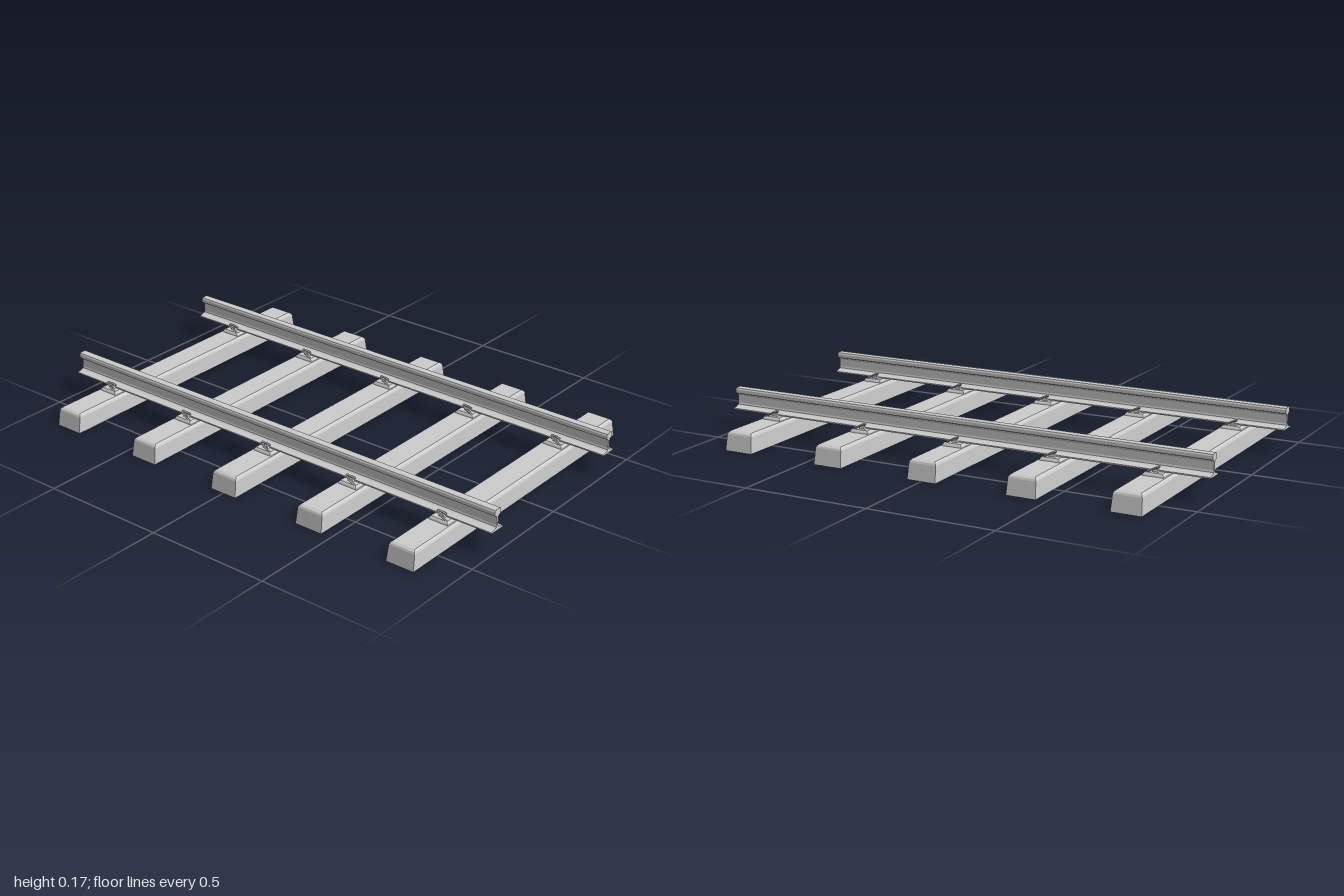
import * as THREE from 'three';

const grey = new THREE.MeshStandardMaterial({ color: 0xcccccc, flatShading: true });
grey.name = 'plain grey';

// Solid made of stacked rectangles: [halfX, y, halfZ], bottom to top
function stackedBlock(levels) {
  const pos = [], index = [];
  for (const [x, y, z] of levels) pos.push(-x, y, z, x, y, z, x, y, -z, -x, y, -z);
  for (let l = 0; l < levels.length - 1; l++) {
    for (let k = 0; k < 4; k++) {
      const a = l * 4 + k, b = l * 4 + (k + 1) % 4;
      index.push(a, b, b + 4, a, b + 4, a + 4);
    }
  }
  const t = (levels.length - 1) * 4;
  index.push(0, 2, 1, 0, 3, 2, t, t + 1, t + 2, t, t + 2, t + 3);
  const g = new THREE.BufferGeometry();
  g.setAttribute('position', new THREE.Float32BufferAttribute(pos, 3));
  g.setIndex(index);
  const flat = g.toNonIndexed();
  flat.computeVertexNormals();
  return flat;
}

// Rail profile with foot, web and head, mirrored about its centre
function railGeometry() {
  const half = [
    [0.034, 0.087], [0.034, 0.092], [0.012, 0.098], [0.006, 0.102], [0.004, 0.109],
    [0.004, 0.138], [0.007, 0.145], [0.016, 0.148], [0.018, 0.153],
    [0.018, 0.163], [0.015, 0.169], [0.01, 0.171],
  ];
  const outline = [...half, ...half.map(([x, y]) => [-x, y]).reverse()];
  const shape = new THREE.Shape(outline.map(([x, y]) => new THREE.Vector2(x, y)));
  return new THREE.ExtrudeGeometry(shape, { depth: 2, bevelEnabled: false }).translate(0, 0, -1);
}

// Bent spring rod that grips the rail foot; side mirrors it in x
function clipGeometry(side) {
  const path = new THREE.CatmullRomCurve3([
    [0.057, 0.086, 0.03], [0.058, 0.096, 0.012], [0.055, 0.107, -0.008],
    [0.047, 0.11, -0.016], [0.038, 0.104, -0.01], [0.031, 0.096, 0.008],
  ].map(([x, y, z]) => new THREE.Vector3(side * x, y, z)));
  return new THREE.TubeGeometry(path, 14, 0.004, 6, false);
}

// Closing discs for the two rod ends
function clipEnds(side) {
  return [[0.057, 0.086, 0.03], [0.031, 0.096, 0.008]].map(([x, y, z]) =>
    new THREE.SphereGeometry(0.004, 6, 4).translate(side * x, y, z));
}

export function createModel() {
  const track = new THREE.Group();
  track.name = 'railwayTrack';
  const add = (parent, geometry, name, x = 0, y = 0, z = 0) => {
    const mesh = new THREE.Mesh(geometry, grey);
    mesh.name = name;
    mesh.position.set(x, y, z);
    parent.add(mesh);
  };

  const sleeper = stackedBlock([
    [0.64, 0, 0.058], [0.63, 0.062, 0.055], [0.627, 0.069, 0.052], [0.618, 0.075, 0.046],
  ]);
  const plate = stackedBlock([[0.067, 0.074, 0.041], [0.065, 0.08, 0.039], [0.06, 0.087, 0.034]]);
  const shoulder = stackedBlock([[0.006, 0.08, 0.016], [0.004, 0.096, 0.008]]);
  const rail = railGeometry();
  const sides = [-1, 1];
  const clips = sides.map(clipGeometry);
  const ends = sides.map(clipEnds);

  // Rails
  for (const s of sides) add(track, rail, s > 0 ? 'leftRail' : 'rightRail', s * 0.358);

  // Sleepers, each with two fastened base plates
  for (let i = -2; i <= 2; i++) {
    const z = i * 0.4;
    add(track, sleeper, 'sleeper', 0, 0, z);
    for (const s of sides) {
      const fastening = new THREE.Group();
      fastening.name = 'railFastening';
      fastening.position.set(s * 0.358, 0, z);
      track.add(fastening);
      add(fastening, plate, 'basePlate');
      sides.forEach((c, k) => {
        add(fastening, shoulder, 'clipShoulder', c * 0.041, 0, 0);
        add(fastening, clips[k], 'springClip');
        ends[k].forEach((g) => add(fastening, g, 'clipEnd'));
      });
    }
  }
  return track;
}
